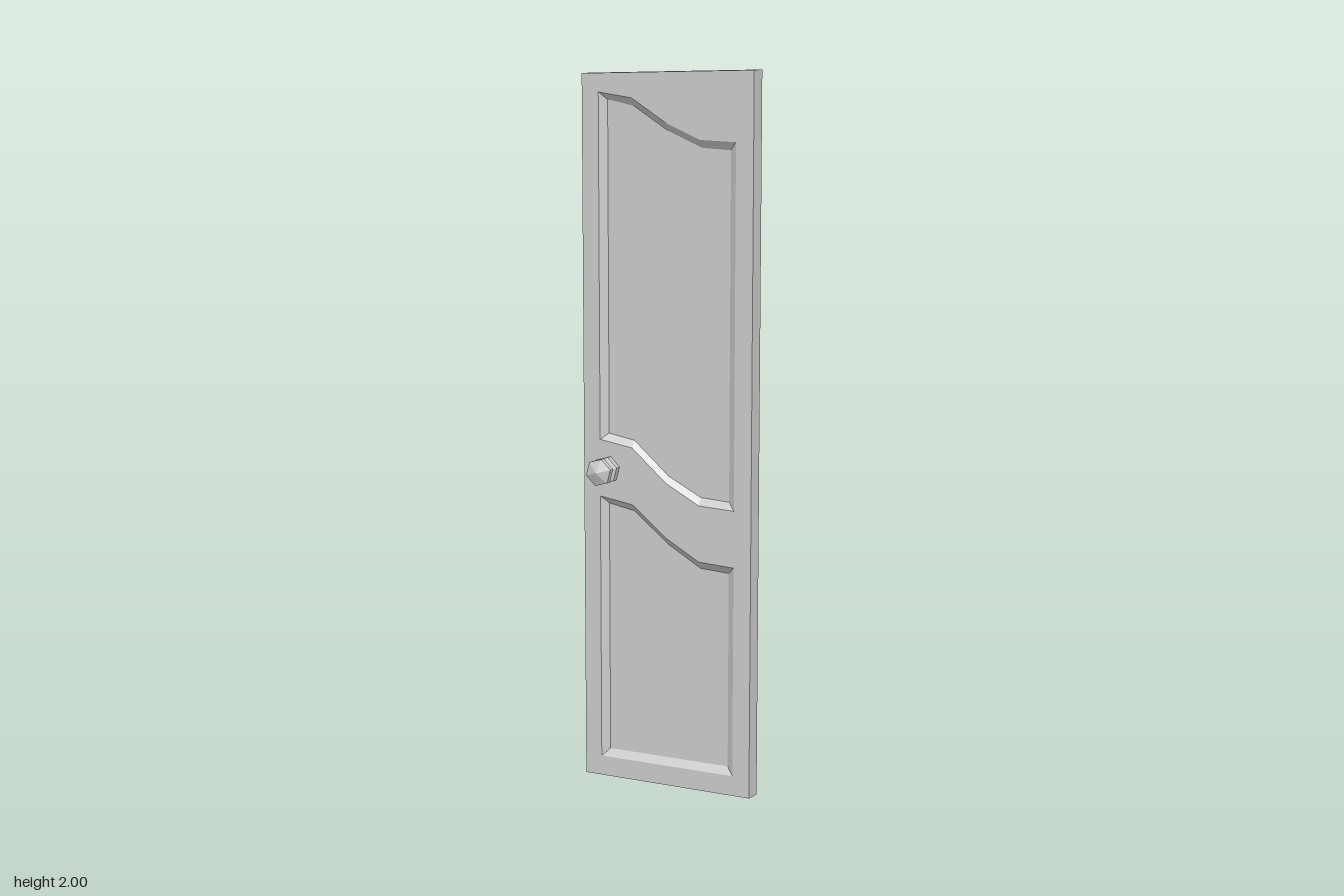
import * as THREE from 'three';

const FRONT = -0.013, BACK = -0.06, FLOOR = -0.028;
const material = new THREE.MeshStandardMaterial({ color: 0xcccccc, flatShading: true });

const toShape = (loop) => new THREE.Shape(loop.map(([x, y]) => new THREE.Vector2(x, y)));

function addMesh(group, name, geometry) {
  const mesh = new THREE.Mesh(geometry, material);
  mesh.name = name;
  group.add(mesh);
  return mesh;
}

// Band of quads between a front loop and a back loop (counter-clockwise loops face outward)
function band(frontLoop, zFront, backLoop, zBack) {
  const positions = [];
  frontLoop.forEach((a, i) => {
    const j = (i + 1) % frontLoop.length;
    const a0 = [...a, zFront], a1 = [...frontLoop[j], zFront];
    const b0 = [...backLoop[i], zBack], b1 = [...backLoop[j], zBack];
    positions.push(...a0, ...b0, ...a1, ...a1, ...b0, ...b1);
  });
  const geometry = new THREE.BufferGeometry();
  geometry.setAttribute('position', new THREE.Float32BufferAttribute(positions, 3));
  geometry.computeVertexNormals();
  return geometry;
}

const rectangle = (w, y0, y1) => [[-w, y0], [w, y0], [w, y1], [-w, y1]];

// Panel outline, counter-clockwise, from bottom and top edges given left to right
const outline = (bottom, top) => [...bottom, ...[...top].reverse()];
const edge = (w, ys) => ys.map((y, i) => [[-w, -0.105, 0, 0.1, w][i], y]);

export function createModel() {
  const model = new THREE.Group();
  model.name = 'door';

  const panels = [
    {
      name: 'upperPanel',
      outer: outline(edge(0.206, [0.985, 0.967, 0.875, 0.82, 0.814]), edge(0.206, [1.946, 1.929, 1.861, 1.816, 1.81])),
      inner: outline(edge(0.185, [1.002, 0.987, 0.894, 0.841, 0.835]), edge(0.185, [1.926, 1.908, 1.84, 1.795, 1.789])),
    },
    {
      name: 'lowerPanel',
      outer: outline([[-0.206, 0.06], [0.206, 0.06]], edge(0.206, [0.823, 0.806, 0.72, 0.662, 0.655])),
      inner: outline([[-0.185, 0.081], [0.185, 0.081]], edge(0.185, [0.802, 0.786, 0.7, 0.641, 0.635])),
    },
  ];

  // Slab: pierced front face, slightly flared sides, plain back
  const frontRect = rectangle(0.257, 0.003, 1.997);
  const backRect = rectangle(0.26, 0, 2);
  const face = toShape(frontRect);
  panels.forEach((p) => face.holes.push(toShape(p.outer)));
  addMesh(model, 'frontFace', new THREE.ShapeGeometry(face).translate(0, 0, FRONT));
  addMesh(model, 'slabSides', band(frontRect, FRONT, backRect, BACK));
  addMesh(model, 'backFace', new THREE.PlaneGeometry(0.52, 2).rotateY(Math.PI).translate(0, 1, BACK));

  // Recessed panels with bevelled walls
  for (const { name, outer, inner } of panels) {
    const group = new THREE.Group();
    group.name = name;
    addMesh(group, name + 'Bevel', band([...outer].reverse(), FRONT, [...inner].reverse(), FLOOR));
    addMesh(group, name + 'Floor', new THREE.ShapeGeometry(toShape(inner)).translate(0, 0, FLOOR));
    model.add(group);
  }

  // Six-sided knob with rose, neck and pointed grip
  const profile = [
    [0.0395, -0.013], [0.0395, 0.005], [0.0213, 0.011], [0.0213, 0.021],
    [0.0395, 0.027], [0.0395, 0.043], [0, 0.059],
  ].map(([r, z]) => new THREE.Vector2(r, z));
  const knob = new THREE.LatheGeometry(profile, 6, Math.PI / 4).rotateX(Math.PI / 2);
  addMesh(model, 'knob', knob).position.set(-0.183, 0.9, 0);

  return model;
}
